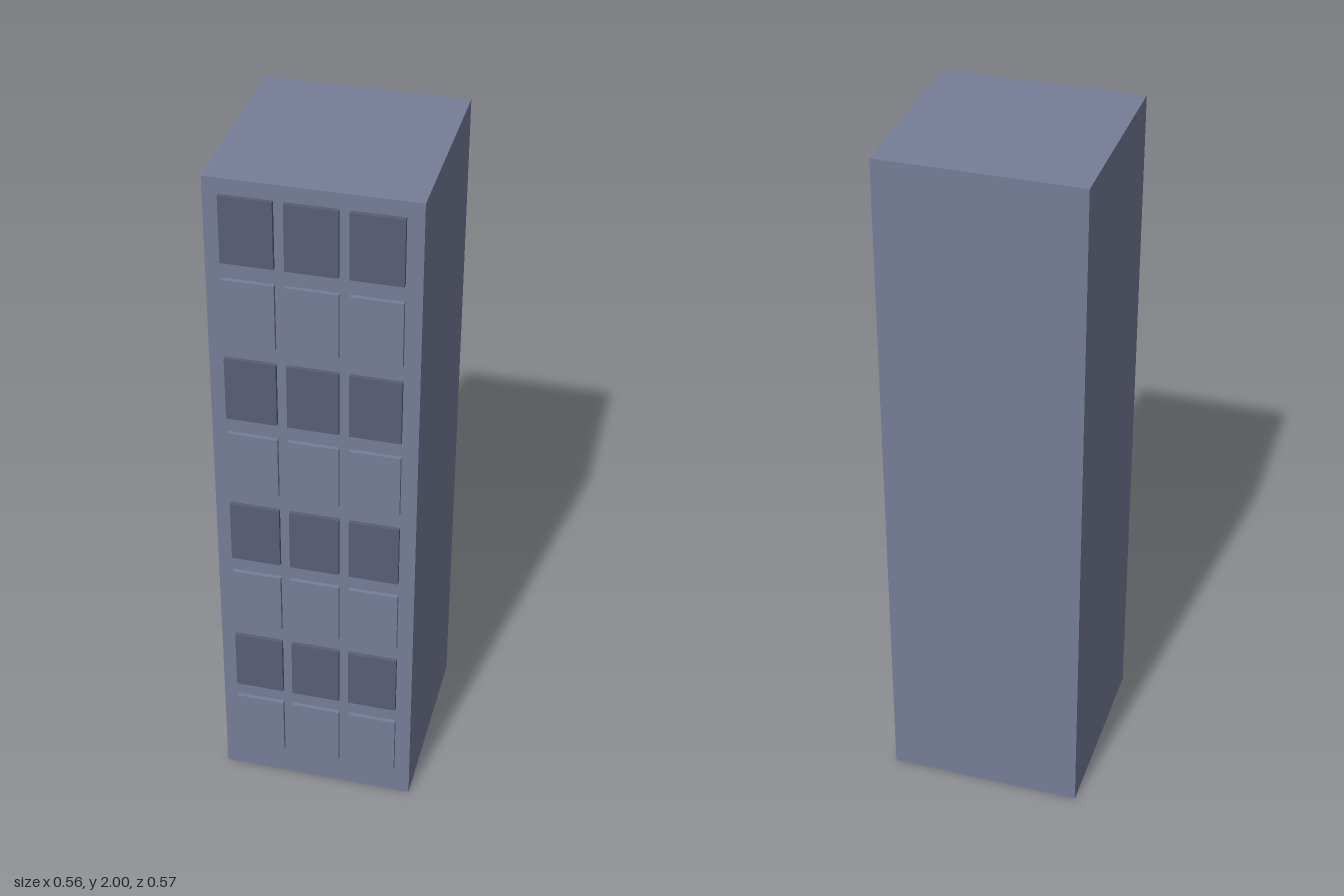
import * as THREE from 'three';

export function createModel() {
  const group = new THREE.Group();
  const wall = new THREE.MeshStandardMaterial({ color: 0x757d96 });
  const darkPane = new THREE.MeshStandardMaterial({ color: 0x585e75 });

  // Plain tower block
  const body = new THREE.Mesh(new THREE.BoxGeometry(0.56, 2, 0.56), wall);
  body.name = 'towerBody';
  body.position.set(0, 1, -0.006);
  group.add(body);

  // Raised windows on the front: 8 floors of 3, alternating shade, backs sunk into the wall
  const windows = new THREE.Group();
  windows.name = 'windows';
  const pane = new THREE.BoxGeometry(0.139, 0.19, 0.024);
  for (let floor = 0; floor < 8; floor++) {
    for (let column = -1; column <= 1; column++) {
      const mesh = new THREE.Mesh(pane, floor % 2 ? darkPane : wall);
      mesh.name = `windowFloor${floor + 1}Column${column + 2}`;
      mesh.position.set(column * 0.167 - 0.001, 0.191 + floor * 0.2386, 0.274);
      windows.add(mesh);
    }
  }
  group.add(windows);

  return group;
}
